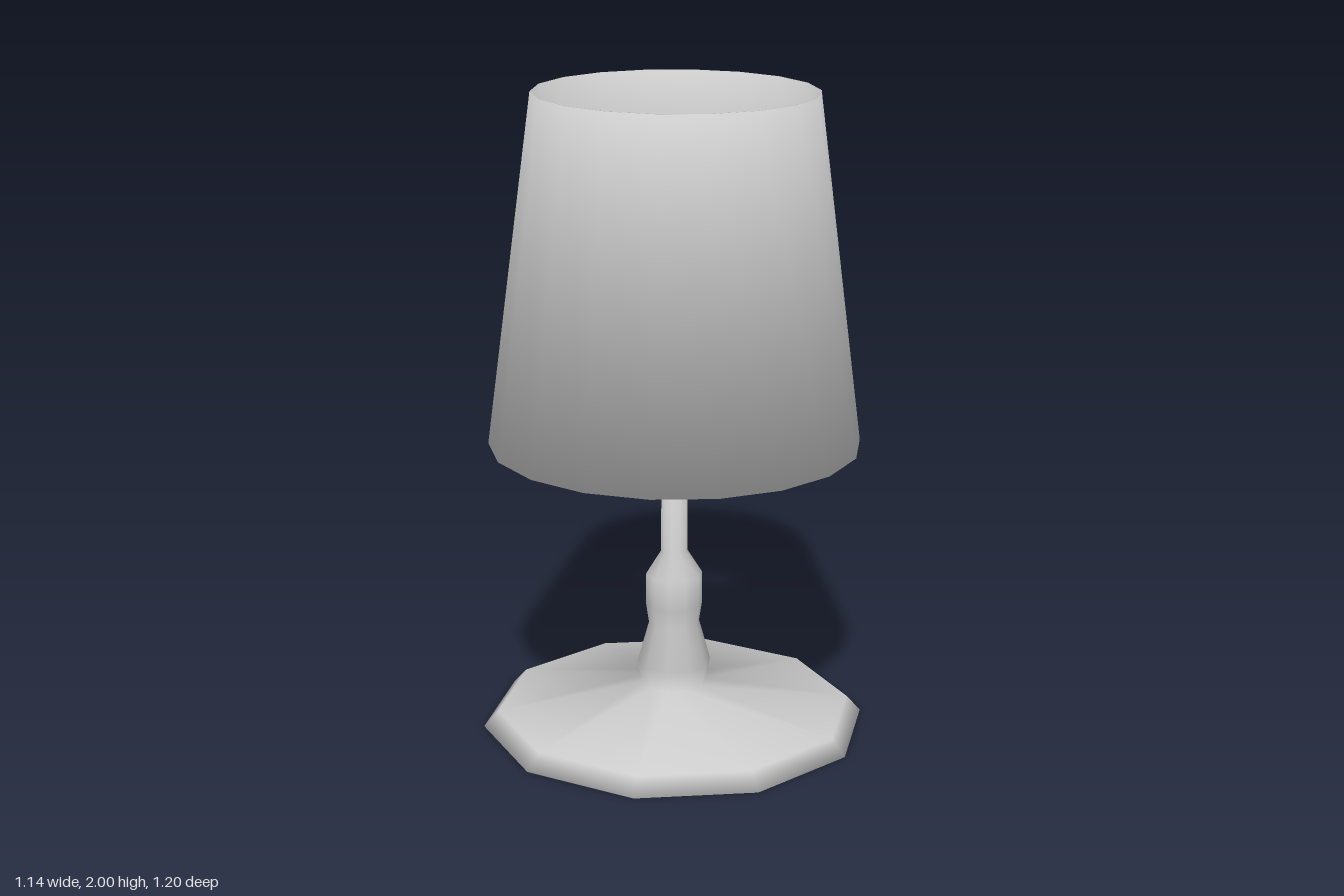
import * as THREE from 'three';

const material = new THREE.MeshStandardMaterial({ color: 0xcccccc });

const BODY_SIDES = 10;
const SHADE_SIDES = 18;

function addMesh(parent, name, geometry) {
  const mesh = new THREE.Mesh(geometry, material);
  mesh.name = name;
  parent.add(mesh);
  return mesh;
}

// Turned part from [radius, height] pairs. Each ring's normal is the even average of
// the two bands beside it; before/after are neighbouring points beyond the ends.
function turned(profile, sides, { before, after } = {}) {
  const points = profile.map(([r, y]) => new THREE.Vector2(r, y));
  const geometry = new THREE.LatheGeometry(points, sides);
  const bandNormal = (a, b) => a && b
    ? new THREE.Vector2(b[1] - a[1], a[0] - b[0]).normalize()
    : new THREE.Vector2();
  const rings = profile.map((p, j) =>
    bandNormal(profile[j - 1] ?? before, p)
      .add(bandNormal(p, profile[j + 1] ?? after)).normalize());
  const normals = geometry.attributes.normal;
  for (let i = 0; i < normals.count; i++) {
    const n = rings[i % rings.length];
    const angle = Math.floor(i / rings.length) / sides * Math.PI * 2;
    normals.setXYZ(i, n.x * Math.sin(angle), n.y, n.x * Math.cos(angle));
  }
  return geometry;
}

// Polygon facing down, its normals blended softly into the rim around it
function underside(radius, sides) {
  const corners = Array.from({ length: sides }, (_, i) => {
    const angle = i / sides * Math.PI * 2;
    return new THREE.Vector2(radius * Math.sin(angle), radius * Math.cos(angle));
  });
  const geometry = new THREE.ShapeGeometry(new THREE.Shape(corners)).rotateX(Math.PI / 2);
  const { position, normal } = geometry.attributes;
  for (let i = 0; i < position.count; i++) {
    const n = new THREE.Vector3(position.getX(i), -0.42 * radius, position.getZ(i)).normalize();
    normal.setXYZ(i, n.x, n.y, n.z);
  }
  return geometry;
}

export function createModel() {
  const lamp = new THREE.Group();
  lamp.name = 'tableLamp';

  // Ten-sided foot flowing into the turned column and slim pole
  addMesh(lamp, 'baseUnderside', underside(0.6, BODY_SIDES));
  addMesh(lamp, 'baseAndColumn', turned([
    [0.6, 0], [0.555, 0.05], [0.1, 0.13], [0.115, 0.2], [0.079, 0.33],
    [0.088, 0.39], [0.088, 0.49], [0.041, 0.565], [0.041, 1.13],
  ], BODY_SIDES, { before: [0, 0], after: [0, 1.13] }));

  // Socket and bulb inside the shade
  addMesh(lamp, 'socket', turned(
    [[0.041, 1.12], [0.055, 1.12], [0.055, 1.25], [0.045, 1.25]], BODY_SIDES));
  addMesh(lamp, 'bulb', turned([
    [0.045, 1.25], [0.055, 1.29], [0.085, 1.34], [0.097, 1.39],
    [0.088, 1.44], [0.055, 1.48], [0, 1.495],
  ], BODY_SIDES, { after: [-0.055, 1.48] }));

  // Thin-walled tapered shade, open at both ends, with softened rims
  const outerBottom = [0.57, 0.918], outerTop = [0.43, 1.996];
  const innerTop = [0.426, 1.996], innerBottom = [0.566, 0.918];
  addMesh(lamp, 'shade', turned(
    [outerBottom, outerTop, innerTop, innerBottom, outerBottom], SHADE_SIDES,
    { before: innerBottom, after: outerTop }));

  // Four wire spokes carrying the shade
  const spokes = new THREE.Group();
  spokes.name = 'shadeSpokes';
  const inner = 0.045, outer = 0.525;
  const wire = new THREE.CylinderGeometry(0.0025, 0.0025, outer - inner, 6);
  wire.rotateX(Math.PI / 2).translate(0, 1.18, (inner + outer) / 2);
  for (let i = 0; i < 4; i++) {
    addMesh(spokes, 'spoke', wire).rotation.y = i * Math.PI / 2;
  }
  lamp.add(spokes);

  // The whole lamp leans very slightly to one side
  lamp.rotation.z = -0.005;
  lamp.position.y = 0.003;

  const model = new THREE.Group();
  model.name = 'lampModel';
  model.add(lamp);
  return model;
}
